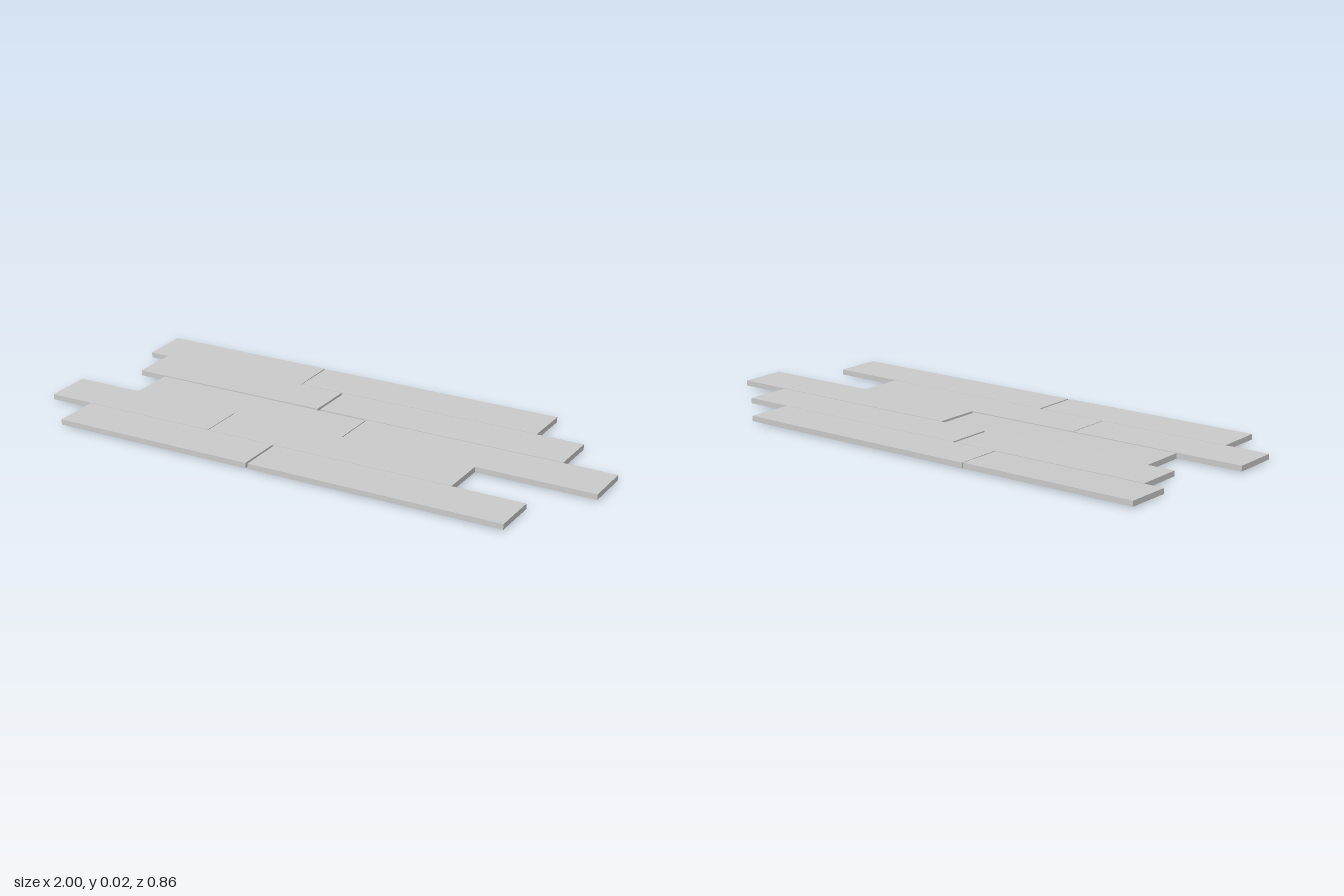
import * as THREE from 'three';

const THICK = 0.019, WIDTH = 0.17, MID_Y = 0.0145;

// each row: centre z, left end, joint start, joint end, right end
const ROWS = [
  { z: -0.343, x: [-0.933, -0.288, -0.284, 0.635] },
  { z: -0.171, x: [-0.861, -0.12, -0.11, 0.807] },
  { z: 0.003, x: [-0.757, 0.07, 0.078, 1.0] },
  { z: 0.173, x: [-1.0, -0.352, -0.349, 0.571] },
  { z: 0.345, x: [-0.837, -0.094, -0.086, 0.833] },
];

// loosely laid boards: small sink and tilt, keyed by row and side
const LOOSE = {
  '0short': { y: 0, rx: 0.012, rz: 0 },
  '2short': { y: -0.003, rx: 0, rz: -0.002 },
};

export function createModel() {
  const group = new THREE.Group();
  group.name = 'plankFloor';
  const material = new THREE.MeshStandardMaterial({ color: 0xcccccc, flatShading: true });

  // one flat board between two x positions
  const addPlank = (name, x0, x1, z, loose = { y: 0, rx: 0, rz: 0 }) => {
    const plank = new THREE.Mesh(new THREE.BoxGeometry(x1 - x0, THICK, WIDTH), material);
    plank.name = name;
    plank.position.set((x0 + x1) / 2, MID_Y + loose.y, z);
    plank.rotation.set(loose.rx, 0, loose.rz);
    group.add(plank);
  };

  // staggered rows, a cut board followed by a full-length board
  ROWS.forEach(({ z, x }, i) => {
    addPlank(`cutPlank${i + 1}`, x[0], x[1], z, LOOSE[`${i}short`]);
    addPlank(`fullPlank${i + 1}`, x[2], x[3], z);
  });
  return group;
}
